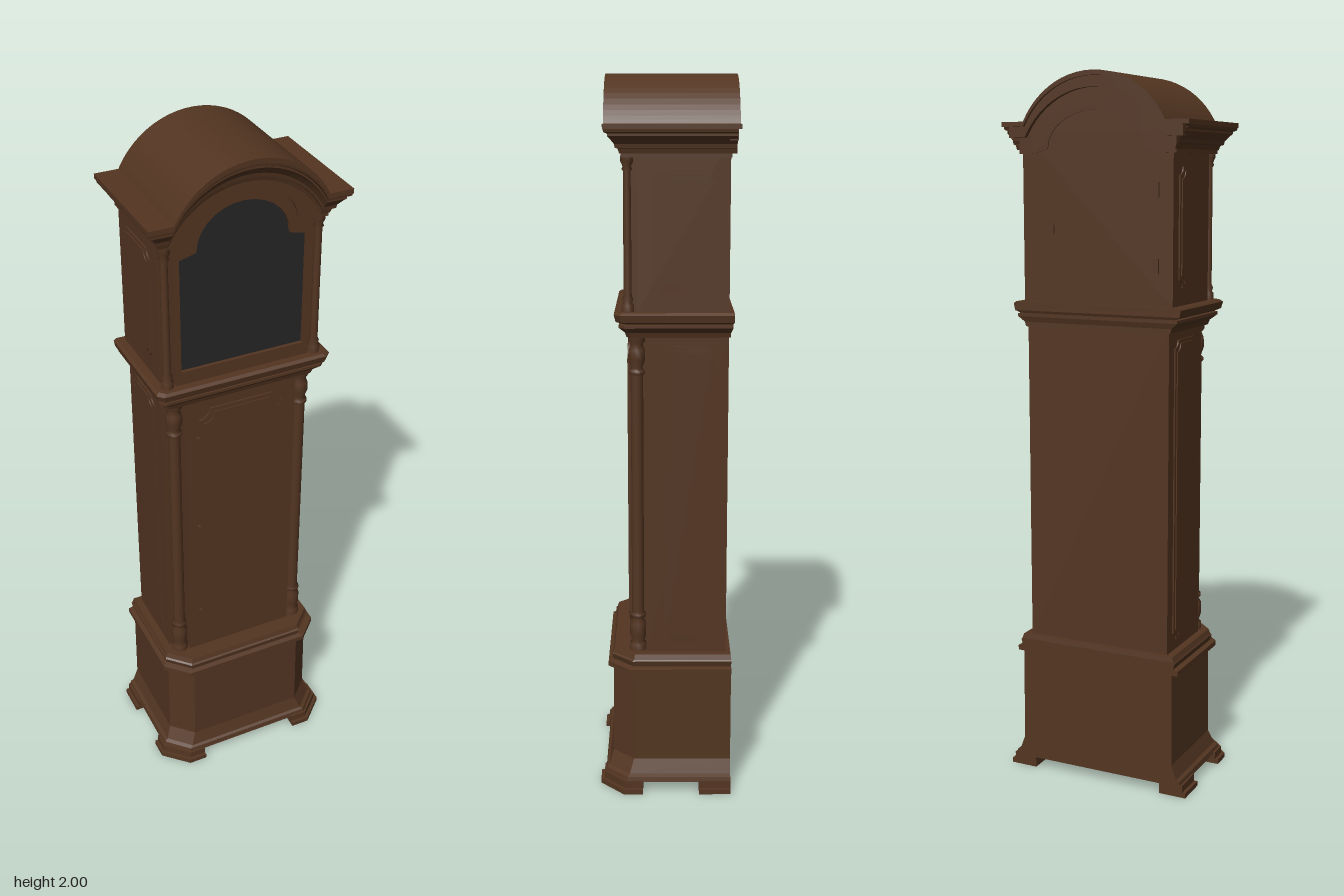
import * as THREE from 'three';

const wood = new THREE.MeshStandardMaterial({ color: 0x54361f });
wood.name = 'walnut wood';
wood.color.set(0x533521);
wood.side = THREE.DoubleSide;
const glass = new THREE.MeshStandardMaterial({ color: 0x262626 });
glass.name = 'dark glass';

// Surface through equal-length rings of [x, y, z] points, listed bottom to top
function loft(rings, closed, caps) {
  const pos = [];
  const n = rings[0].length;
  const tri = (a, b, c) => pos.push(...a, ...b, ...c);
  for (let k = 0; k < rings.length - 1; k++) {
    for (let i = 0; i < (closed ? n : n - 1); i++) {
      const j = (i + 1) % n;
      tri(rings[k][i], rings[k][j], rings[k + 1][j]);
      tri(rings[k][i], rings[k + 1][j], rings[k + 1][i]);
    }
  }
  if (caps) {
    const top = rings[rings.length - 1], bottom = rings[0];
    for (let i = 1; i < n - 1; i++) {
      tri(top[0], top[i], top[i + 1]);
      tri(bottom[0], bottom[i + 1], bottom[i]);
    }
  }
  const g = new THREE.BufferGeometry();
  g.setAttribute('position', new THREE.Float32BufferAttribute(pos, 3));
  g.computeVertexNormals();
  return g;
}

// Plan with cut front corners, stacked by rows of [y, halfWidth, front, back, cut]
const stack = (rows) => loft(rows.map(([y, w, f, b, c]) => [
  [-w + c, y, f], [w - c, y, f], [w, y, f - c], [w, y, b], [-w, y, b], [-w, y, f - c],
]), true, true);

const shapeOf = (pts) => new THREE.Shape(pts.map(([x, y]) => new THREE.Vector2(x, y)));

function slab(shape, z0, z1) {
  const g = new THREE.ExtrudeGeometry(shape, { depth: z1 - z0, bevelEnabled: false });
  return g.translate(0, 0, z0);
}

// Arched hood roofline: a shallow arc with level ends
const arcR = 0.2346;
const roofY = (x) => Math.abs(x) < 0.21
  ? 2 - arcR + Math.sqrt(arcR * arcR - x * x) : 1.87;

function roofLine(w, drop) {
  const pts = [[-w, 1.87 - drop]];
  for (let i = -14; i <= 14; i++) {
    const x = 0.21 * Math.sin((i / 14) * Math.PI / 2);
    pts.push([x, roofY(x) - drop]);
  }
  pts.push([w, 1.87 - drop]);
  return pts;
}

// Shouldered arch, right to left
function doorTop(w, shoulder, rx, top) {
  const y = shoulder + 0.012, pts = [[w, shoulder]];
  for (let i = 0; i <= 14; i++) {
    const a = (i / 14) * Math.PI;
    pts.push([rx * Math.cos(a), y + (top - y) * Math.sin(a)]);
  }
  pts.push([-w, shoulder]);
  return pts;
}

// Rectangle with scooped corners
function scooped(w, h, r) {
  const s = new THREE.Shape();
  s.moveTo(-w + r, -h);
  s.lineTo(w - r, -h);
  s.absarc(w, -h, r, Math.PI, Math.PI / 2, true);
  s.lineTo(w, h - r);
  s.absarc(w, h, r, Math.PI * 1.5, Math.PI, true);
  s.lineTo(-w + r, h);
  s.absarc(-w, h, r, 0, -Math.PI / 2, true);
  s.lineTo(-w, -h + r);
  s.absarc(-w, -h, r, Math.PI / 2, 0, true);
  return s;
}

export function createModel() {
  const root = new THREE.Group();
  root.name = 'longcaseClock';
  const add = (name, geometry, material = wood) => {
    const m = new THREE.Mesh(geometry, material);
    m.name = name;
    root.add(m);
    return m;
  };
  const box = (name, x0, x1, y0, y1, z0, z1) => add(name,
    new THREE.BoxGeometry(x1 - x0, y1 - y0, z1 - z0)
      .translate((x0 + x1) / 2, (y0 + y1) / 2, (z0 + z1) / 2));
  const turned = (name, pts, x, z) => add(name,
    new THREE.LatheGeometry(pts.map(([r, y]) => new THREE.Vector2(r, y)), 12).translate(x, 0, z));

  // Bracket feet
  for (const s of [-1, 1]) {
    const foot = shapeOf([[0.155, 0.192], [0.21, 0.192], [0.28, 0.125], [0.28, 0.07],
      [0.22, 0.07], [0.22, 0.1], [0.19, 0.135], [0.155, 0.135]].map(([x, z]) => [s * x, -z]));
    add('frontFoot', slab(foot, 0, 0.014).rotateX(-Math.PI / 2));
    const upper = shapeOf([[0.155, 0.182], [0.205, 0.182], [0.27, 0.12], [0.27, 0.07],
      [0.22, 0.07], [0.22, 0.1], [0.19, 0.135], [0.155, 0.135]].map(([x, z]) => [s * x, -z]));
    add('frontFootTop', slab(upper, 0.014, 0.035).rotateX(-Math.PI / 2));
    box('backFoot', s > 0 ? 0.2 : -0.28, s > 0 ? 0.28 : -0.2, 0, 0.014, -0.18, -0.09);
    box('backFootTop', s > 0 ? 0.2 : -0.27, s > 0 ? 0.27 : -0.2, 0.014, 0.035, -0.18, -0.09);
  }

  // Plinth with flared skirt, and the moulding above it
  add('plinth', stack([
    [0.03, 0.265, 0.178, -0.18, 0.062], [0.045, 0.262, 0.175, -0.18, 0.062],
    [0.05, 0.252, 0.168, -0.18, 0.06], [0.09, 0.237, 0.156, -0.18, 0.06],
    [0.36, 0.235, 0.154, -0.18, 0.06],
  ]));
  add('plinthMoulding', stack([
    [0.358, 0.254, 0.168, -0.18, 0.062], [0.372, 0.254, 0.168, -0.18, 0.062],
    [0.376, 0.24, 0.155, -0.18, 0.06], [0.392, 0.244, 0.158, -0.18, 0.06],
    [0.396, 0.241, 0.154, -0.18, 0.06], [0.41, 0.236, 0.15, -0.178, 0.058],
  ]));

  // Trunk, with rebated front corners for the columns
  box('trunk', -0.215, 0.215, 0.405, 1.33, -0.165, 0.06);
  box('trunkFront', -0.165, 0.165, 0.405, 1.33, 0.05, 0.103);
  add('trunkDoor', slab(scooped(0.126, 0.415, 0.032), 0.1, 0.108).translate(0, 0.865, 0));
  add('trunkDoorPanel', slab(scooped(0.114, 0.403, 0.032), 0.1, 0.111).translate(0, 0.865, 0));
  for (const y of [0.55, 0.87, 1.18]) box('doorHinge', -0.134, -0.126, y - 0.014, y + 0.014, 0.1, 0.113);

  // Turned columns
  const trunkColumn = [[0.024, 0.408], [0.024, 0.43], [0.017, 0.435], [0.023, 0.455], [0.023, 0.49],
    [0.015, 0.505], [0.022, 0.51], [0.022, 0.518], [0.017, 0.525], [0.017, 1.205], [0.022, 1.21],
    [0.022, 1.218], [0.015, 1.225], [0.024, 1.25], [0.022, 1.275], [0.016, 1.29], [0.024, 1.3], [0.024, 1.33]];
  const hoodColumn = [[0.017, 1.378], [0.017, 1.4], [0.012, 1.405], [0.015, 1.415], [0.011, 1.425],
    [0.01, 1.75], [0.014, 1.755], [0.011, 1.762], [0.017, 1.775], [0.017, 1.79]];
  for (const s of [-1, 1]) {
    turned('trunkColumn', trunkColumn, s * 0.19, 0.083);
    turned('hoodColumn', hoodColumn, s * 0.215, 0.106);
  }

  // Moulding between trunk and hood
  add('waistMoulding', stack([
    [1.312, 0.22, 0.11, -0.17, 0.012], [1.325, 0.224, 0.114, -0.17, 0.012],
    [1.34, 0.242, 0.13, -0.175, 0.014], [1.348, 0.242, 0.13, -0.175, 0.014],
    [1.35, 0.234, 0.122, -0.175, 0.014], [1.357, 0.25, 0.138, -0.178, 0.016],
    [1.376, 0.254, 0.143, -0.178, 0.016], [1.382, 0.246, 0.135, -0.178, 0.016],
  ]));

  // Hood case and the frieze around the arched door
  add('hoodCase', slab(shapeOf([...roofLine(0.225, 0.03), [0.225, 1.38], [-0.225, 1.38]]), -0.165, 0.08));
  add('hoodFrieze', slab(shapeOf([...roofLine(0.234, 0.025), [0.234, 1.785],
    ...doorTop(0.195, 1.785, 0.147, 1.9), [-0.234, 1.785]]), -0.168, 0.121));

  // Hood door with glass
  const frame = shapeOf([[-0.193, 1.38], [0.193, 1.38], ...doorTop(0.193, 1.784, 0.147, 1.9)]);
  const pane = [[-0.177, 1.42], [0.177, 1.42], ...doorTop(0.177, 1.745, 0.13, 1.872)];
  frame.holes.push(new THREE.Path(pane.map(([x, y]) => new THREE.Vector2(x, y))));
  add('hoodDoorFrame', slab(frame, 0.075, 0.113));
  add('hoodDoorGlass', slab(shapeOf(pane), 0.098, 0.103), glass);

  // Arched roof board
  const band = (w, d0, d1) => shapeOf([...roofLine(w, d0), ...roofLine(w, d1).reverse()]);
  add('roof', slab(band(0.277, 0, 0.013), -0.19, 0.167));
  add('roofBackLip', slab(band(0.258, 0.012, 0.042), -0.182, -0.16));

  // Cornice swept around the sides and over the front arch: [inset, drop]
  const profile = [[0.042, 0.075], [0.038, 0.062], [0.031, 0.06], [0.029, 0.05],
    [0.018, 0.036], [0.012, 0.03], [0.012, 0.024], [0.003, 0.02], [0.001, 0.01]];
  add('cornice', loft(profile.map(([e, f]) => {
    const w = 0.277 - e, y = 1.87 - f;
    return [[-w, y, -0.18], ...roofLine(w, f).map(([x, h]) => [x, h, 0.167 - e]), [w, y, -0.18]];
  }), false, false));

  // Scooped panels on both sides of trunk and hood
  const sidePanel = (name, s, x, z, y, w, h) => {
    for (const [inset, t] of [[0, 0.004], [0.01, 0.007]]) {
      add(name, slab(scooped(w - inset, h - inset, 0.022), -0.002, t)
        .rotateY(s * Math.PI / 2).translate(s * x, y, z));
    }
  };
  for (const s of [-1, 1]) {
    sidePanel('trunkSidePanel', s, 0.215, -0.057, 0.865, 0.073, 0.425);
    sidePanel('hoodSidePanel', s, 0.225, -0.042, 1.59, 0.087, 0.16);
  }

  // Small hinges and catch on the back of the hood
  for (const y of [1.49, 1.69]) box('backHinge', -0.185, -0.165, y - 0.02, y + 0.02, -0.173, -0.16);
  box('backCatch', 0.13, 0.138, 1.57, 1.6, -0.17, -0.16);
  return root;
}
